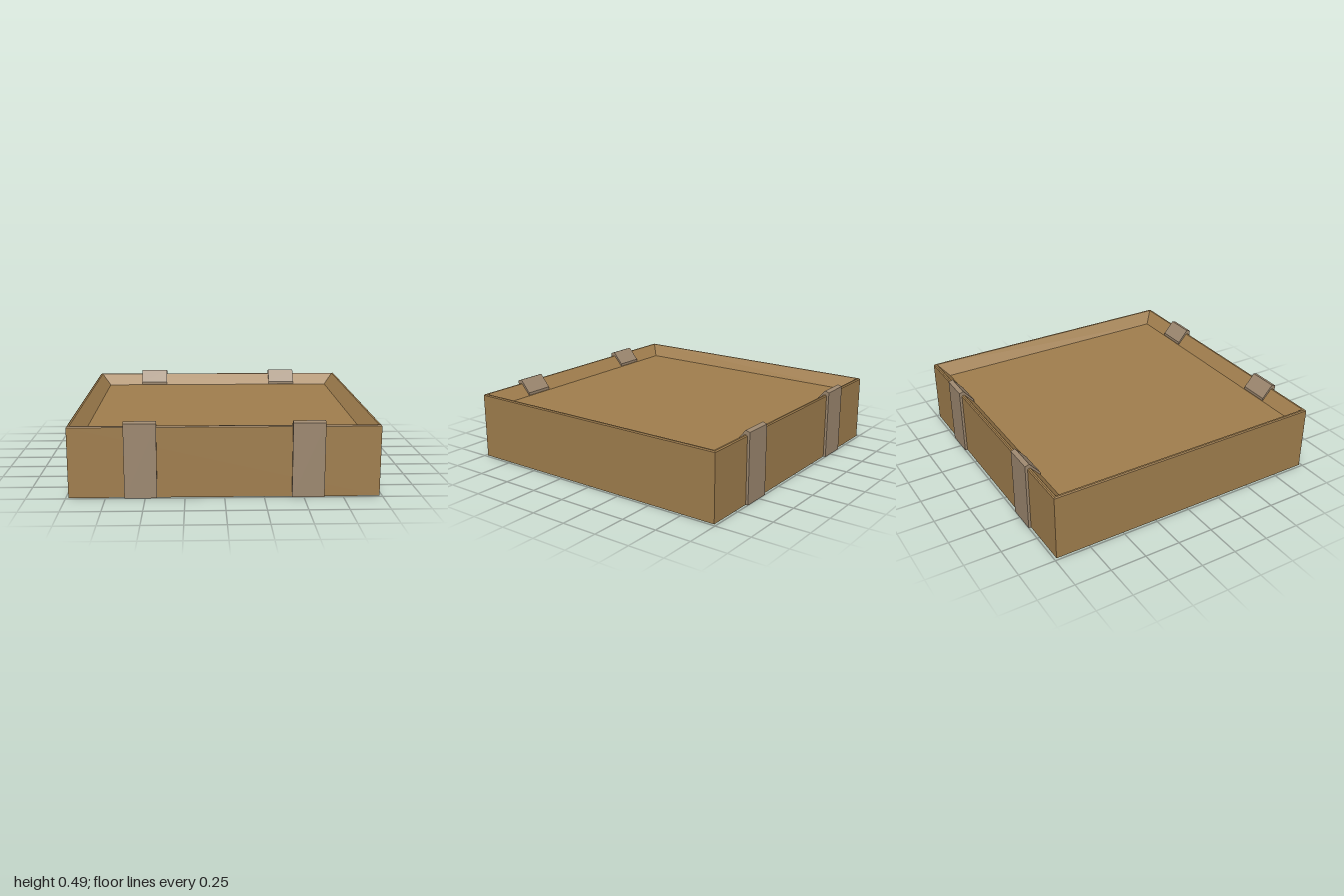
import * as THREE from 'three';

export function createModel() {
  const model = new THREE.Group();
  model.name = 'tray';

  const wood = new THREE.MeshStandardMaterial({ color: 0x9f7d4d, side: THREE.DoubleSide });
  wood.name = 'brown wood';
  const strapMat = new THREE.MeshStandardMaterial({ color: 0x9c876f, side: THREE.DoubleSide });
  strapMat.name = 'grey brown strap';

  const add = (geometry, material, name, parent = model) => {
    const mesh = new THREE.Mesh(geometry, material);
    mesh.name = name;
    parent.add(mesh);
    return mesh;
  };

  // Four-sided wall: outer face, chamfered rim and sloping inner face; open underneath
  const floorY = 0.38, floorHalf = 0.893;
  const profile = [[0.983, 0], [0.983, 0.453], [0.976, 0.46], [0.964, 0.46], [floorHalf, floorY]]
    .map(([half, y]) => new THREE.Vector2(half * Math.SQRT2, y));
  const walls = new THREE.LatheGeometry(profile, 4, Math.PI / 4).toNonIndexed();
  walls.computeVertexNormals();
  add(walls, wood, 'walls');

  // Raised floor
  const floor = new THREE.PlaneGeometry(2 * floorHalf, 2 * floorHalf);
  floor.rotateX(-Math.PI / 2).translate(0, floorY, 0);
  add(floor, wood, 'floor');

  // Strap cross-section in (z, y): up the outside, over the rim, down the inner slope
  const section = [
    [1, 0], [1, 0.48], [0.97, 0.49], [0.895, 0.402],
    [0.895, 0.376], [0.96, 0.452], [0.978, 0.452], [0.978, 0],
  ].map(([z, y]) => new THREE.Vector2(z, y));
  const width = 0.205;
  const strap = new THREE.ExtrudeGeometry(new THREE.Shape(section), { depth: width, bevelEnabled: false });
  strap.rotateY(-Math.PI / 2).translate(width / 2, 0, 0);

  // A pair of straps on the front and on the back
  for (const [side, turn] of [['front', 0], ['back', Math.PI]]) {
    const pair = new THREE.Group();
    pair.name = side + 'Straps';
    pair.rotation.y = turn;
    for (const x of [-0.528, 0.528]) add(strap, strapMat, side + 'Strap', pair).position.x = x;
    model.add(pair);
  }
  return model;
}
